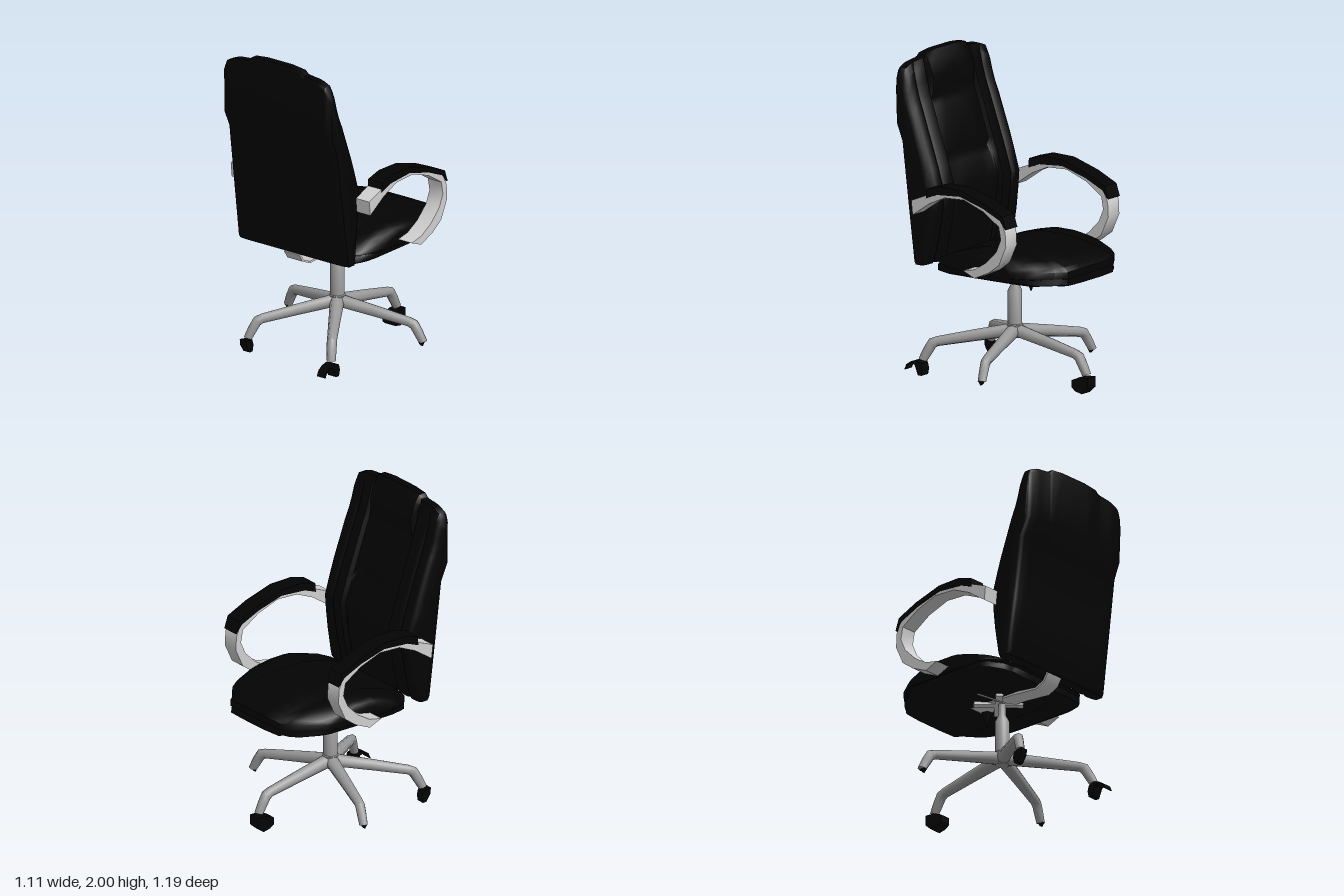
import * as THREE from 'three';
import { toCreasedNormals } from 'three/addons/utils/BufferGeometryUtils.js';

const mat = (name, color) => {
  const m = new THREE.MeshStandardMaterial({ color, side: THREE.DoubleSide });
  m.name = name;
  return m;
};

// Skin over closed rings of [x, y, z] points, with fan caps
function loft(rings, crease = 0.7) {
  const n = rings[0].length, pos = rings.flat(2), idx = [];
  for (let r = 0; r < rings.length - 1; r++) {
    for (let i = 0; i < n; i++) {
      const a = r * n + i, b = r * n + (i + 1) % n;
      idx.push(a, b, a + n, b, b + n, a + n);
    }
  }
  [rings[0], rings[rings.length - 1]].forEach((ring, end) => {
    const c = pos.length / 3, base = end * (rings.length - 1) * n;
    pos.push(...[0, 1, 2].map((k) => ring.reduce((s, p) => s + p[k], 0) / n));
    for (let i = 0; i < n; i++) {
      const a = base + i, b = base + (i + 1) % n;
      idx.push(c, end ? a : b, end ? b : a);
    }
  });
  const g = new THREE.BufferGeometry();
  g.setAttribute('position', new THREE.Float32BufferAttribute(pos, 3));
  g.setIndex(idx);
  return toCreasedNormals(g, crease);
}

// Side outline of [z, y] points given a width across x, centred on x = 0
function slab(points, width) {
  const shape = new THREE.Shape(points.map(([z, y]) => new THREE.Vector2(z, y)));
  const g = new THREE.ExtrudeGeometry(shape, { depth: width, bevelEnabled: false });
  g.rotateY(-Math.PI / 2).translate(width / 2, 0, 0);
  return toCreasedNormals(g, 0.6);
}

export function createModel() {
  const root = new THREE.Group();
  root.name = 'officeChair';
  const leather = mat('black leather', 0x030303);
  const plastic = mat('black plastic', 0x040404);
  const metal = mat('grey metal', 0x9a9a9a);
  const armMetal = mat('light grey metal', 0xd0d0d0);
  const add = (name, geo, material, parent = root) => {
    const m = new THREE.Mesh(geo, material);
    m.name = name;
    parent.add(m);
    return m;
  };

  // Backrest: side profile swept across x, straight bolsters beside a seamed centre with a headrest
  const rear = [[0.537, 2.0], [0.585, 2.0], [0.596, 1.98], [0.596, 1.62], [0.54, 1.49], [0.49, 1.1], [0.445, 0.76], [0.43, 0.74]];
  const bolster = [[0.355, 0.74], [0.34, 0.77], [0.3, 0.95], [0.28, 1.08], [0.27, 1.19], [0.315, 1.33],
    [0.329, 1.37], [0.343, 1.41], [0.436, 1.68], [0.45, 1.72], [0.467, 1.77], [0.49, 1.86], [0.51, 1.95]];
  const centre = [[0.355, 0.74], [0.345, 0.77], [0.315, 0.95], [0.295, 1.08], [0.29, 1.19], [0.345, 1.33],
    [0.372, 1.37], [0.366, 1.41], [0.455, 1.68], [0.478, 1.72], [0.468, 1.77], [0.468, 1.86], [0.498, 1.95]];
  // [x, top drop, crease depth, thickness]
  const backStations = [
    [-0.42, 0.17, 0, 0.62], [-0.41, 0.11, 0, 0.85], [-0.39, 0.07, 0, 0.95], [-0.34, 0.05, 0, 1], [-0.32, 0.045, 0.014, 1],
    [-0.3, 0.042, 0, 1], [-0.225, 0.035, 0, 1], [-0.21, 0.03, 0.03, 1], [-0.195, 0.01, 0.005, 1], [-0.1, 0, 0, 1],
    [0.1, 0, 0, 1], [0.205, 0.012, 0.005, 1], [0.225, 0.03, 0.03, 1], [0.24, 0.035, 0, 1], [0.31, 0.042, 0, 1],
    [0.33, 0.045, 0.014, 1], [0.35, 0.05, 0, 1], [0.4, 0.07, 0, 0.95], [0.42, 0.11, 0, 0.85], [0.44, 0.17, 0, 0.62]];
  const clamp01 = (v) => THREE.MathUtils.clamp(v, 0, 1);
  const spine = (y) => 0.39 + 0.155 * clamp01((y - 0.74) / 1.1);
  const backRings = backStations.map(([x, drop, dent, k]) => {
    const face = Math.abs(x) < 0.208 ? centre : bolster;
    return [...rear, ...face].map(([z, y], i) => [
      x * (1 - 0.025 * clamp01((y - 0.8) / 1.1)),
      y - drop * clamp01((y - 1.55) / 0.4),
      spine(y) + (z - spine(y)) * k + (i >= rear.length ? dent : 0)]);
  });
  add('backrest', loft(backRings, 0.8), leather);

  // Seat: stations across x; [x, front z, back z, underside scale]; the top falls off more slowly
  const seatStations = [
    [-0.432, -0.33, 0.11, 0.3], [-0.42, -0.37, 0.2, 0.55], [-0.39, -0.42, 0.26, 0.72], [-0.33, -0.505, 0.31, 0.86],
    [-0.28, -0.545, 0.32, 0.9], [-0.25, -0.565, 0.32, 0.8], [-0.225, -0.583, 0.33, 0.95], [-0.1, -0.592, 0.33, 1],
    [0.1, -0.595, 0.33, 1], [0.225, -0.594, 0.33, 0.95], [0.25, -0.56, 0.32, 0.8], [0.28, -0.54, 0.32, 0.9],
    [0.36, -0.47, 0.31, 0.84], [0.4, -0.4, 0.26, 0.72], [0.43, -0.34, 0.2, 0.55], [0.443, -0.31, 0.08, 0.3]];
  const seatLoft = (profile, inset) => loft(seatStations.map(([x, zf, zb, k]) => profile.map(([u, y]) =>
    [x * inset, 0.765 + (y - 0.765) * (y > 0.765 ? Math.sqrt(k) : k), zb + (zf - zb) * u])), 0.8);
  add('seatCushion', seatLoft([[1, 0.81], [0.97, 0.835], [0.87, 0.868], [0.75, 0.887], [0.6, 0.902], [0.4, 0.9], [0.28, 0.875],
    [0.15, 0.84], [0.02, 0.785], [0, 0.765], [0.1, 0.745], [0.9, 0.745], [1, 0.765]], 1), leather);
  add('seatBase', seatLoft([[0.99, 0.775], [0.5, 0.79], [0.03, 0.76], [0.0, 0.74], [0.0, 0.695], [0.1, 0.685],
    [0.6, 0.695], [0.93, 0.705], [1, 0.72]], 0.985), leather);

  // Armrests: curved metal loop with a padded top
  const loop = [[0.36, 1.17], [0.24, 1.22], [0.1, 1.255], [-0.05, 1.26], [-0.2, 1.225], [-0.33, 1.16], [-0.37, 1.08],
    [-0.375, 0.99], [-0.32, 0.87], [-0.24, 0.81], [-0.13, 0.76], [-0.04, 0.795], [-0.13, 0.815], [-0.22, 0.87],
    [-0.3, 0.95], [-0.335, 1.03], [-0.32, 1.11], [-0.2, 1.185], [-0.05, 1.235], [0.1, 1.225], [0.22, 1.17], [0.35, 1.08]];
  const pad = [[0.245, 1.2], [0.24, 1.26], [0.14, 1.29], [-0.02, 1.29], [-0.21, 1.237], [-0.35, 1.177], [-0.377, 1.1],
    [-0.362, 1.11], [-0.33, 1.15], [-0.2, 1.205], [-0.02, 1.252], [0.16, 1.235]];
  for (const [side, x] of [['left', 0.498], ['right', -0.486]]) {
    const arm = new THREE.Group();
    arm.name = side + 'Armrest';
    arm.position.x = x;
    root.add(arm);
    add('armLoop', slab(loop, 0.106), armMetal, arm);
    add('armPad', slab(pad, 0.112), leather, arm);
  }

  // Gas column
  const column = [[0, 0.27], [0.04, 0.27], [0.05, 0.35], [0.044, 0.355], [0.044, 0.56], [0.024, 0.6], [0.024, 0.68], [0, 0.68]];
  add('column', toCreasedNormals(new THREE.LatheGeometry(column.map((p) => new THREE.Vector2(...p)), 20), 0.6), metal);

  // Five legs: sections of [radius, y, half height, half width, tilt]
  const legSections = [[0.01, 0.315, 0.042, 0.045, 0], [0.25, 0.275, 0.037, 0.037, 0], [0.47, 0.236, 0.031, 0.031, 0.1],
    [0.5, 0.222, 0.034, 0.031, 0.6], [0.525, 0.18, 0.031, 0.03, 1.15], [0.557, 0.12, 0.027, 0.027, 1.25]];
  const legGeo = loft(legSections.map(([r, y, h, w, tilt]) => Array.from({ length: 8 }, (_, i) => {
    const a = i * Math.PI / 4, up = Math.cos(a) * h;
    return [r + up * Math.sin(tilt), y + up * Math.cos(tilt), Math.sin(a) * w];
  })), 0.9);
  for (let i = 0; i < 5; i++) {
    add('leg' + (i + 1), legGeo, metal).rotation.y = Math.PI / 2 + i * Math.PI * 0.4;
  }

  // Casters: full at the front, partial hoods at the rear, small stubs at the sides
  const frontCaster = [[-0.47, 0.08], [-0.525, 0.105], [-0.595, 0.11], [-0.595, 0.045], [-0.55, 0.005], [-0.5, 0.015], [-0.47, 0.035]];
  const rearHood = [[0.56, 0.05], [0.545, 0.085], [0.51, 0.108], [0.47, 0.118], [0.43, 0.105], [0.42, 0.07], [0.428, 0.03],
    [0.455, 0.03], [0.48, 0.09], [0.51, 0.1], [0.54, 0.08], [0.555, 0.05]];
  const rearBlock = [[0.49, 0.115], [0.43, 0.105], [0.42, 0.07], [0.428, 0.03], [0.455, 0.03], [0.485, 0.075]];
  const sideStub = [[-0.145, 0.12], [-0.185, 0.12], [-0.165, 0.095]];
  add('frontCaster', slab(frontCaster, 0.075), plastic);
  add('leftRearCaster', slab(rearHood, 0.065), plastic).position.x = 0.338;
  add('rightRearCaster', slab(rearBlock, 0.05), plastic).position.x = -0.335;
  for (const s of [-1, 1]) add('sideCaster', slab(sideStub, 0.02), plastic).position.x = s * 0.525;

  // Tilt mechanism under the seat: rear bracket, crossed mounting bars, lever and tension knob
  add('backBracket', slab([[0.42, 0.74], [0.39, 0.695], [0.33, 0.667], [0.14, 0.692], [-0.2, 0.705], [-0.2, 0.69],
    [0.14, 0.675], [0.33, 0.655], [0.4, 0.685], [0.432, 0.735]], 0.12), armMetal);
  for (const s of [-1, 1]) {
    const bar = add('mountBar', new THREE.BoxGeometry(0.3, 0.02, 0.045), armMetal);
    bar.position.set(0, 0.684, -0.03);
    bar.rotation.y = s * Math.PI / 4;
  }
  const lever = new THREE.LineCurve3(new THREE.Vector3(0, 0.68, 0.02), new THREE.Vector3(-0.25, 0.65, 0.03));
  add('lever', new THREE.TubeGeometry(lever, 1, 0.006, 6), metal);
  const knob = add('tensionKnob', new THREE.ConeGeometry(0.036, 0.085, 10), plastic);
  knob.position.set(0, 0.613, -0.125);
  knob.rotation.x = Math.PI;

  return root;
}
